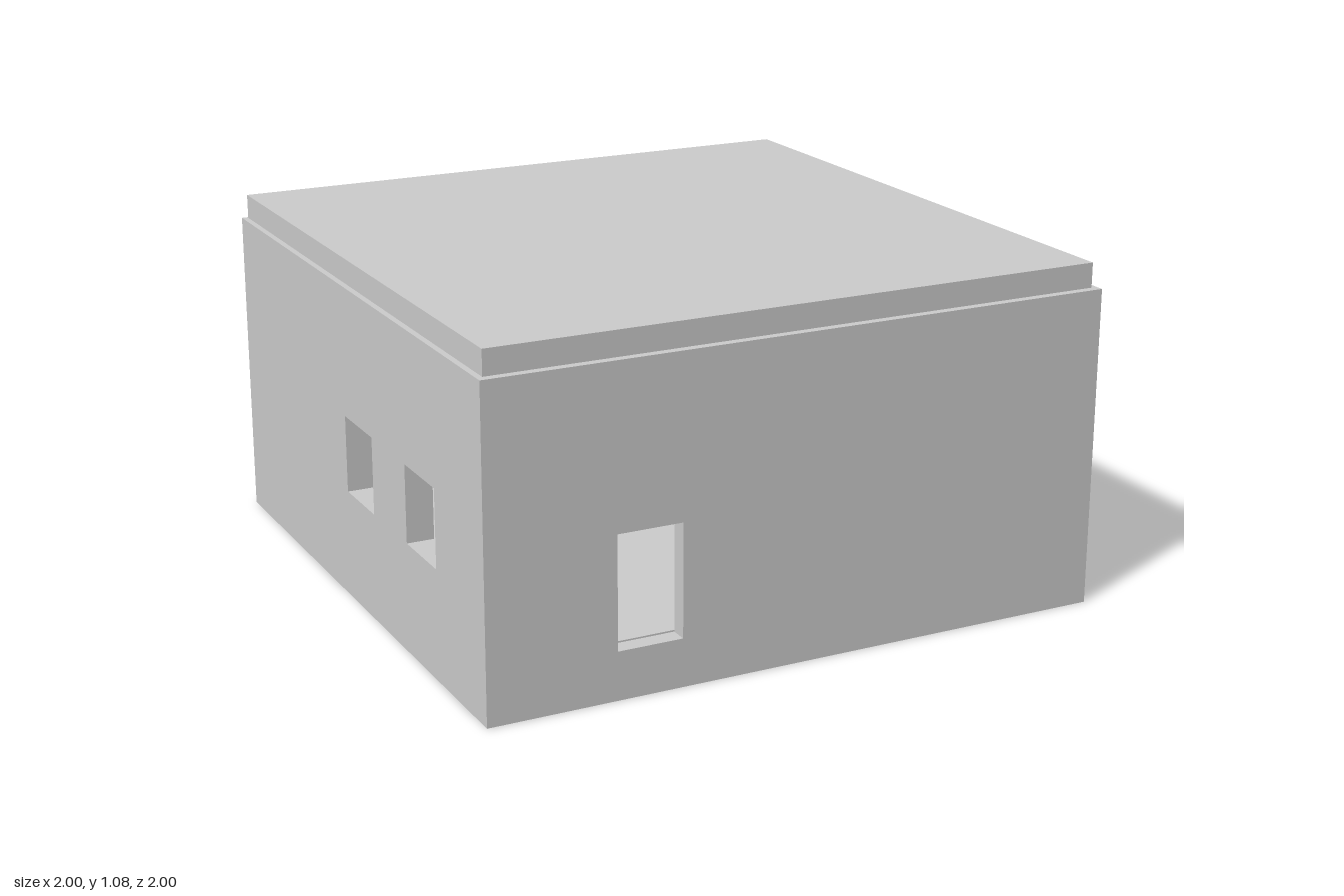
import * as THREE from 'three';

const HEIGHT = 1;
const END_T = 0.055;  // front and back wall thickness
const SIDE_T = 0.085; // side wall thickness

const material = new THREE.MeshStandardMaterial({ color: 0xcccccc, flatShading: true });

function add(group, name, geometry, x, y, z) {
  const mesh = new THREE.Mesh(geometry, material);
  mesh.name = name;
  mesh.position.set(x, y, z);
  group.add(mesh);
  return mesh;
}

// Wall panel in the XY plane; each opening is [u0, v0, u1, v1]
function wallGeometry(halfWidth, thickness, openings = []) {
  const rect = (path, u0, v0, u1, v1) =>
    path.moveTo(u0, v0).lineTo(u1, v0).lineTo(u1, v1).lineTo(u0, v1).closePath();
  const shape = new THREE.Shape();
  rect(shape, -halfWidth, 0, halfWidth, HEIGHT);
  for (const o of openings) {
    const hole = new THREE.Path();
    rect(hole, ...o);
    shape.holes.push(hole);
  }
  return new THREE.ExtrudeGeometry(shape, { depth: thickness, bevelEnabled: false });
}

export function createModel() {
  const house = new THREE.Group();
  house.name = 'house';

  // Front wall with doorway, plain back wall
  add(house, 'frontWall', wallGeometry(1, END_T, [[-0.6, 0.15, -0.395, 0.5]]), 0, 0, 1 - END_T);
  add(house, 'backWall', wallGeometry(1, END_T), 0, 0, -1);

  // Side walls run along z: one window on the left, two on the right
  const sideHalf = 1 - END_T;
  const left = wallGeometry(sideHalf, SIDE_T, [[-0.16, 0.335, 0.065, 0.585]]);
  const right = wallGeometry(sideHalf, SIDE_T, [
    [-0.06, 0.345, 0.165, 0.588],
    [0.43, 0.345, 0.655, 0.588],
  ]);
  add(house, 'leftWall', left, 1, 0, 0).rotation.y = -Math.PI / 2;
  add(house, 'rightWall', right, -1 + SIDE_T, 0, 0).rotation.y = -Math.PI / 2;

  // Raised floor and interior partition
  const innerW = 2 - 2 * SIDE_T;
  const innerD = 2 - 2 * END_T;
  add(house, 'floor', new THREE.BoxGeometry(innerW, 0.155, innerD), 0, 0.0775, 0);
  add(house, 'partition', new THREE.BoxGeometry(0.085, 0.845, 0.7), -0.3975, 0.5775, -0.595);

  // Flat roof slab, set back slightly from the wall faces
  add(house, 'roof', new THREE.BoxGeometry(1.962, 0.077, 1.966), 0, HEIGHT + 0.0385, -0.009);

  return house;
}
